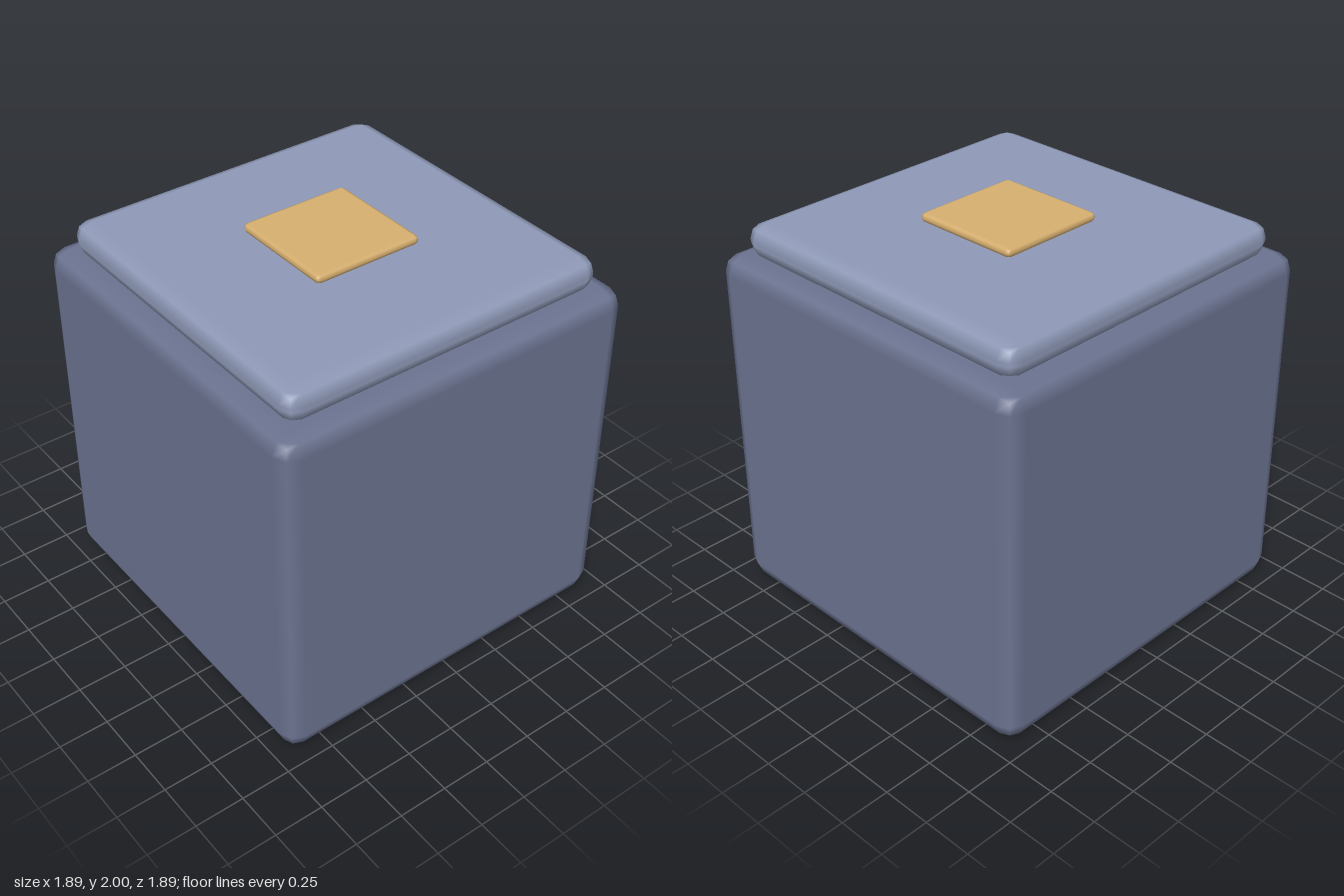
import * as THREE from 'three';
import { RoundedBoxGeometry } from 'three/addons/geometries/RoundedBoxGeometry.js';

// Square block with bevelled edges, spanning bottom..top
function block(name, width, bottom, top, radius, color) {
  const geometry = new RoundedBoxGeometry(width, top - bottom, width, 1, radius);
  const mesh = new THREE.Mesh(geometry, new THREE.MeshStandardMaterial({ color }));
  mesh.position.y = (bottom + top) / 2;
  mesh.name = name;
  return mesh;
}

export function createModel() {
  const model = new THREE.Group();
  model.name = 'liddedBox';
  model.add(
    block('body', 1.89, 0, 1.8, 0.09, 0x6b7390),
    // Lid sits slightly sunk into the body
    block('lid', 1.702, 1.782, 1.952, 0.076, 0x8f9ab8),
    // Gold plate centred on the lid
    block('topPlate', 0.567, 1.953, 2, 0.0235, 0xd8b070),
  );
  return model;
}
